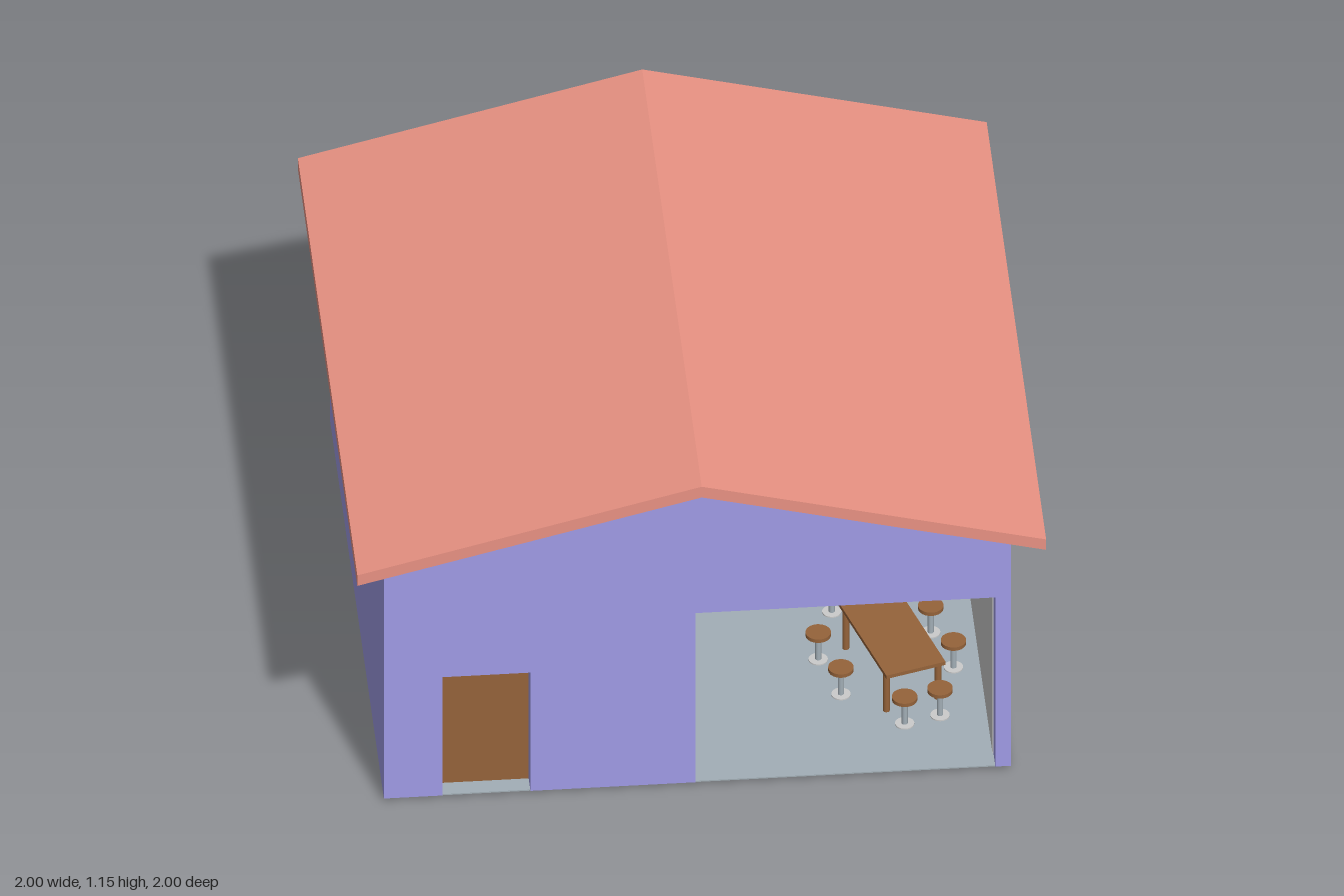
import * as THREE from 'three';

const mat = (color, side = THREE.FrontSide) =>
  new THREE.MeshStandardMaterial({ color, side, flatShading: false });

export function createModel() {
  const model = new THREE.Group();
  model.name = 'house';

  const purple = mat(0xa09be6);
  const red = mat(0xe99283);
  const brown = mat(0x95633a);
  const stone = mat(0xa2aeb6);
  const grey = mat(0xcccccc);

  const add = (parent, name, geometry, material, x = 0, y = 0, z = 0) => {
    const mesh = new THREE.Mesh(geometry, material);
    mesh.name = name;
    mesh.position.set(x, y, z);
    parent.add(mesh);
    return mesh;
  };
  // box given by its min and max corners
  const box = (parent, name, material, [x0, y0, z0], [x1, y1, z1]) =>
    add(parent, name, new THREE.BoxGeometry(x1 - x0, y1 - y0, z1 - z0), material,
      (x0 + x1) / 2, (y0 + y1) / 2, (z0 + z1) / 2);
  // outline in the front plane, extruded from z0 to z1
  const prism = (name, material, points, z0, z1) => {
    const shape = new THREE.Shape(points.map(p => new THREE.Vector2(...p)));
    const geometry = new THREE.ExtrudeGeometry(shape, { depth: z1 - z0, bevelEnabled: false });
    return add(model, name, geometry, material, 0, 0, z0);
  };

  // walls: gable outline with door and garage passages cut up from the bottom
  const base = 0.01, left = 0.905, right = -0.915;
  const gable = [[left, 0.88], [0, 1.113], [right, 0.878]];
  const door = { x0: -0.745, x1: -0.49, top: 0.44 };
  const garage = { x0: -0.01, x1: 0.86, top: 0.625 };
  const notch = o => [[o.x0, base], [o.x0, o.top], [o.x1, o.top], [o.x1, base]];
  prism('walls', purple,
    [[right, base], ...notch(door), ...notch(garage), [left, base], ...gable], -0.9, 0.91);
  prism('backWall', purple, [[right, base], [left, base], ...gable], -0.91, -0.9);

  // roof: bent slab with overhang
  prism('roof', red,
    [[-1, 0.857], [0, 1.113], [1, 0.857], [1, 0.895], [0, 1.152], [-1, 0.895]], -1, 1);

  // floors of the two passages
  box(model, 'garageFloor', stone, [garage.x0, base, -0.9], [garage.x1, base + 0.004, 0.909]);
  box(model, 'entranceFloor', stone, [door.x0, base, -0.9], [door.x1, base + 0.004, 0.909]);

  // recessed front door
  box(model, 'door', brown, [door.x0, base, 0.83], [door.x1, door.top, 0.855]);

  // grey lining of the open garage
  const back = -0.17, front = 0.85, t = 0.003;
  const lining = new THREE.Group();
  lining.name = 'garageLining';
  model.add(lining);
  box(lining, 'backPanel', grey, [garage.x0, base, back - 0.05], [garage.x1, garage.top, back]);
  box(lining, 'rightPanel', grey, [garage.x0, base, back], [garage.x0 + t, garage.top, front]);
  box(lining, 'leftPanel', grey, [garage.x1 - t, base, back], [garage.x1, garage.top, front]);
  box(lining, 'ceilingPanel', grey,
    [garage.x0, garage.top - t, back], [garage.x1, garage.top, front]);

  // table and stools, turned together inside the garage
  const dining = new THREE.Group();
  dining.name = 'diningSet';
  dining.position.set(0.6, 0, 0.444);
  dining.rotation.y = 0.29;
  model.add(dining);

  const table = new THREE.Group();
  table.name = 'table';
  dining.add(table);
  box(table, 'tableTop', brown, [-0.092, 0.152, -0.19], [0.092, 0.164, 0.19]);
  const legGeometry = new THREE.CylinderGeometry(0.01, 0.01, 0.152, 16);
  for (const sx of [-1, 1])
    for (const sz of [-1, 1])
      add(table, 'tableLeg', legGeometry, brown, sx * 0.08, 0.076, sz * 0.16);

  const seatGeometry = new THREE.CylinderGeometry(0.037, 0.037, 0.012, 24);
  const poleGeometry = new THREE.CylinderGeometry(0.009, 0.009, 0.1, 16);
  const footGeometry = new THREE.CylinderGeometry(0.028, 0.028, 0.012, 24);
  const places = [[0.055, 0.24], [0.055, -0.334], [0.175, 0.042], [0.175, -0.137]];
  for (const [x, z] of places) {
    for (const side of [-1, 1]) {
      const stool = new THREE.Group();
      stool.name = 'stool';
      stool.position.set(side * x, 0, z);
      dining.add(stool);
      add(stool, 'seat', seatGeometry, brown, 0, 0.109, 0);
      add(stool, 'pole', poleGeometry, stone, 0, 0.055, 0);
      add(stool, 'foot', footGeometry, grey, 0, 0.012, 0);
    }
  }

  return model;
}
